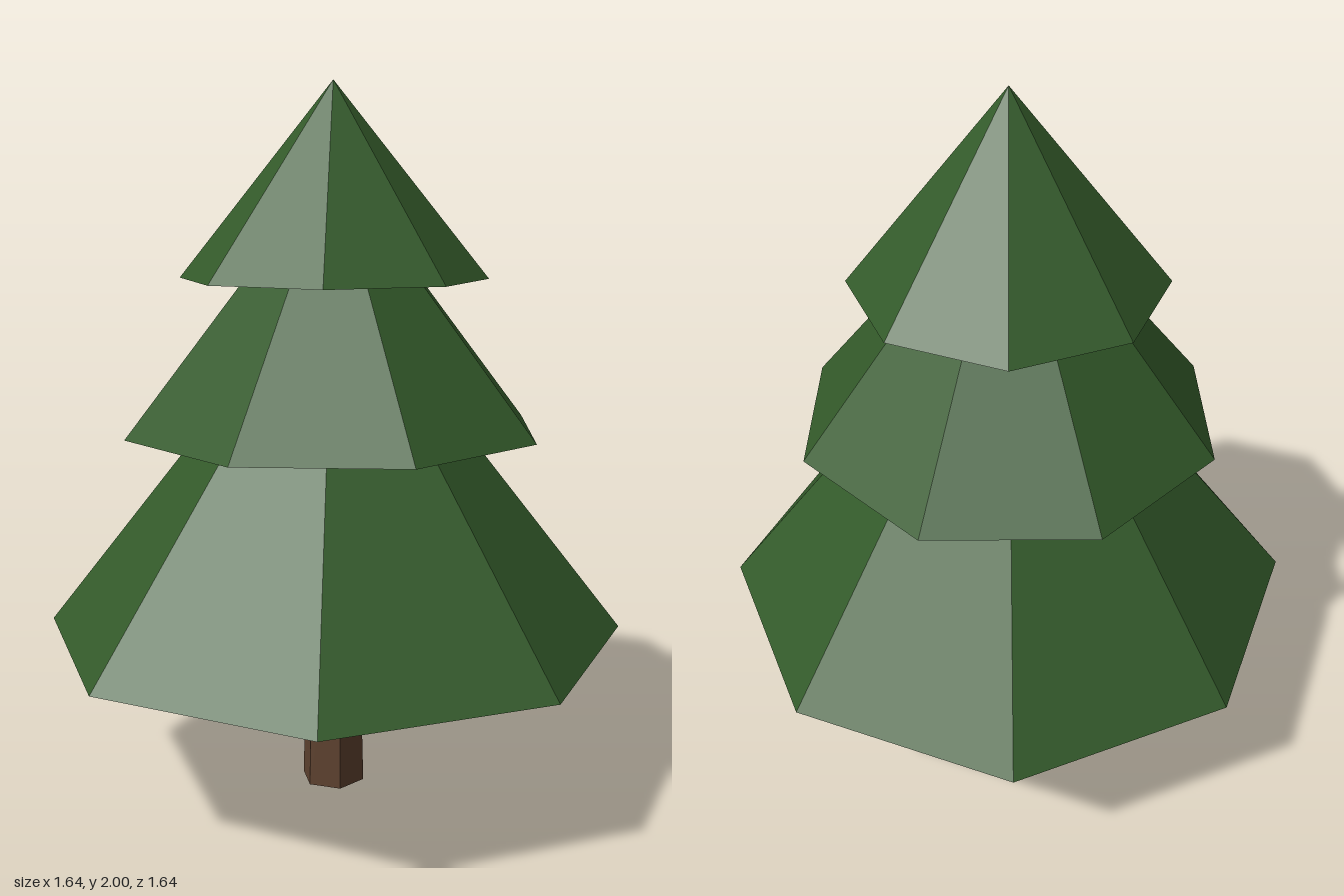
import * as THREE from 'three';

export function createModel() {
  const tree = new THREE.Group();
  tree.name = 'pineTree';

  const foliage = new THREE.MeshStandardMaterial({ color: 0x335a2a, flatShading: true });
  foliage.name = 'foliageGreen';
  const bark = new THREE.MeshStandardMaterial({ color: 0x5e422f, flatShading: true });
  bark.name = 'barkBrown';

  // Tapered six-sided trunk, running up into the lowest tier
  const trunkHeight = 0.6;
  const trunk = new THREE.Mesh(
    new THREE.CylinderGeometry(0.076, 0.093, trunkHeight, 6), bark);
  trunk.name = 'trunk';
  trunk.position.y = trunkHeight / 2;
  trunk.rotation.y = Math.PI / 6;
  tree.add(trunk);

  // Three eight-sided cones, each turned a little further than the one below
  const tiers = [
    { name: 'lowerBranches', radius: 0.822, base: 0.478, tip: 1.52 },
    { name: 'middleBranches', radius: 0.592, base: 1.055, tip: 1.79 },
    { name: 'topBranches', radius: 0.427, base: 1.472, tip: 2 },
  ];
  tiers.forEach(({ name, radius, base, tip }, i) => {
    const cone = new THREE.Mesh(new THREE.ConeGeometry(radius, tip - base, 8), foliage);
    cone.name = name;
    cone.position.y = (base + tip) / 2;
    cone.rotation.y = -0.4 * i;
    tree.add(cone);
  });

  return tree;
}
